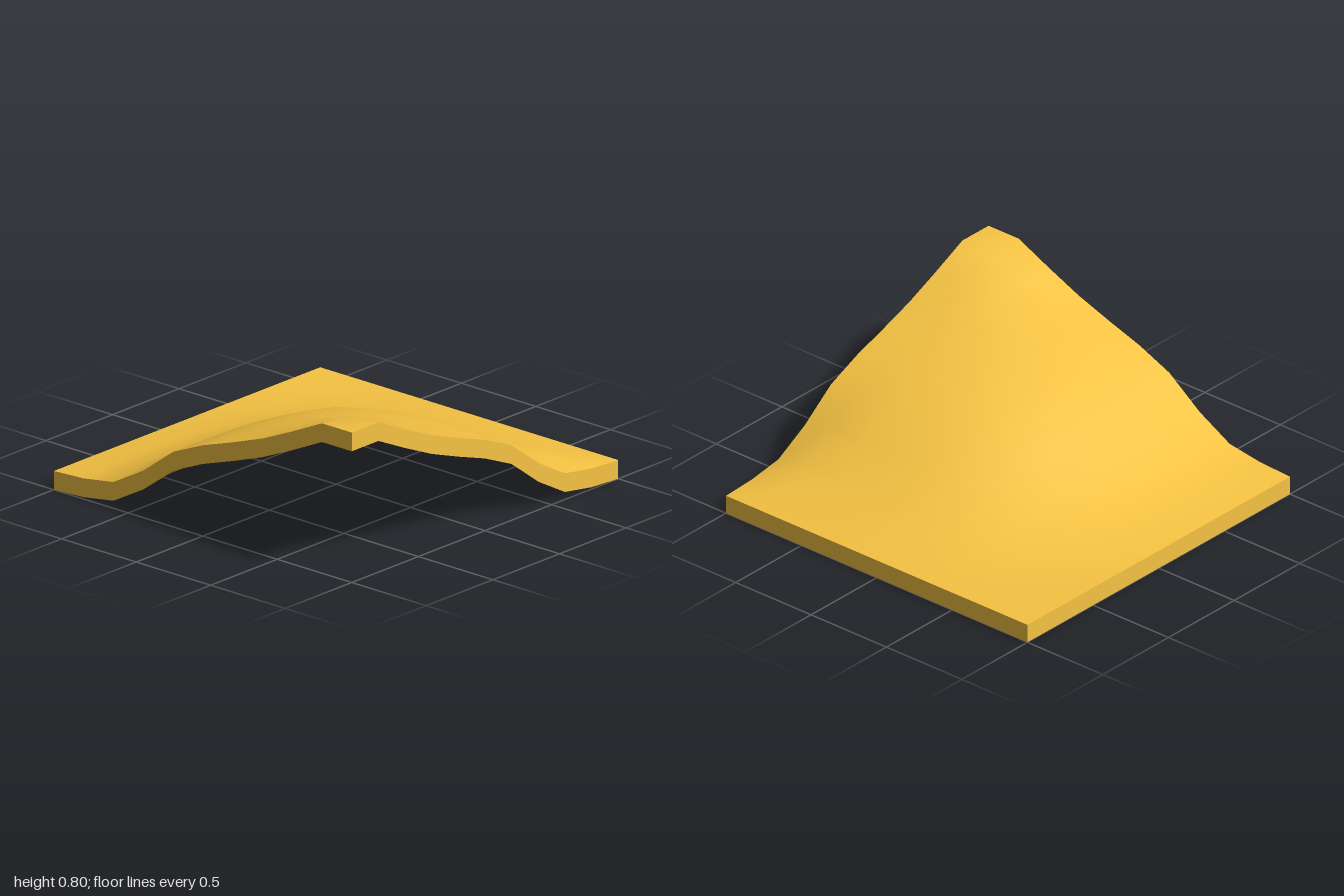
import * as THREE from 'three';

const N = 10; // grid cells per side
const THICKNESS = 0.1;
const ROUNDNESS = 4; // exponent of the rounded-square contours around the summit

// Rise of the slope from the low edge to the summit, one value per grid line
const rim = [0, 0.01, 0.04, 0.15, 0.30, 0.385, 0.45, 0.52, 0.607, 0.70, 0.70];
const alongX = [0, 0.025, 0.075, 0.18, 0.30, 0.385, 0.46, 0.522, 0.607, 0.70, 0.70];
const alongZ = [0, 0.04, 0.105, 0.21, 0.315, 0.395, 0.45, 0.52, 0.607, 0.70, 0.70];

// Linear reading of a profile at a fractional grid line
function sample(profile, t) {
  const c = THREE.MathUtils.clamp(t, 0, N);
  const i = Math.min(Math.floor(c), N - 1);
  return THREE.MathUtils.lerp(profile[i], profile[i + 1], c - i);
}

// Height over grid point (i, j): pinned rim, rounded contours inside
function heightAt(i, j) {
  if (i === 0 || j === 0) return 0;
  if (i === N || j === N) return rim[Math.min(i, j)];
  const a = (N - i) ** ROUNDNESS;
  const b = (N - j) ** ROUNDNESS;
  const t = N - (a + b) ** (1 / ROUNDNESS);
  return THREE.MathUtils.lerp(sample(alongX, t), sample(alongZ, t), b / (a + b));
}

export function createModel() {
  const group = new THREE.Group();
  group.name = 'terrainTile';

  // Flat slab bent upward by the height rule; its six faces keep sharp edges
  const slab = new THREE.BoxGeometry(2, THICKNESS, 2, N, 1, N);
  const pos = slab.attributes.position;
  for (let k = 0; k < pos.count; k++) {
    const i = Math.round((pos.getX(k) + 1) * N / 2);
    const j = Math.round((pos.getZ(k) + 1) * N / 2);
    pos.setY(k, pos.getY(k) + THICKNESS / 2 + heightAt(i, j));
  }
  slab.computeVertexNormals();

  const hill = new THREE.Mesh(slab, new THREE.MeshStandardMaterial({ color: 0xf5c242 }));
  hill.name = 'hillSurface';
  group.add(hill);
  return group;
}
